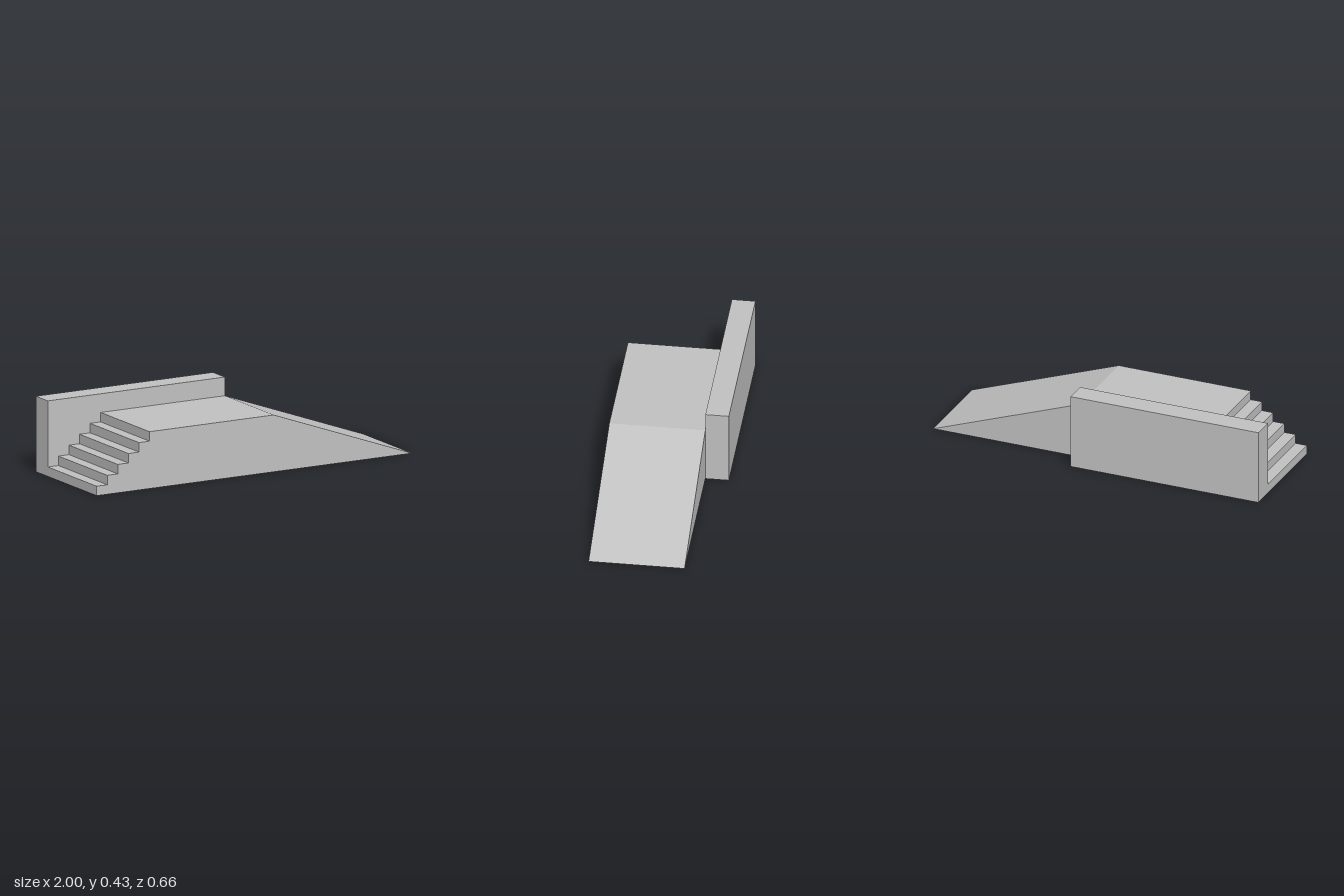
import * as THREE from 'three';

const STEPS = 6, DECK = 0.32, RUN = 0.067, RAMP_TOP = 0.123;
const FRONT = 0.33, WALL_FRONT = -0.2, BACK = -0.33;

export function createModel() {
  const concrete = new THREE.MeshStandardMaterial({ color: 0xc0c0c0 });
  concrete.name = 'concrete grey';
  const group = new THREE.Group();
  group.name = 'stepsAndRamp';

  // Side profile: ramp on the left, level deck, stairs on the right
  const profile = new THREE.Shape();
  profile.moveTo(-1, 0);
  profile.lineTo(1, 0);
  profile.lineTo(RAMP_TOP, DECK);
  for (let i = STEPS; i > 0; i--) {
    const x = -1 + RUN * (i - 1);
    profile.lineTo(x, DECK * i / STEPS);
    if (i > 1) profile.lineTo(x, DECK * (i - 1) / STEPS);
  }
  profile.closePath();
  const body = new THREE.Mesh(
    new THREE.ExtrudeGeometry(profile, { depth: FRONT - WALL_FRONT, bevelEnabled: false }), concrete);
  body.name = 'stairsDeckAndRamp';
  body.position.z = WALL_FRONT;
  group.add(body);

  // Raised wall behind the stairs and deck
  const wallHeight = 0.425;
  const wall = new THREE.Mesh(
    new THREE.BoxGeometry(RAMP_TOP + 1, wallHeight, WALL_FRONT - BACK), concrete);
  wall.name = 'backWall';
  wall.position.set((RAMP_TOP - 1) / 2, wallHeight / 2, (WALL_FRONT + BACK) / 2);
  group.add(wall);

  return group;
}
